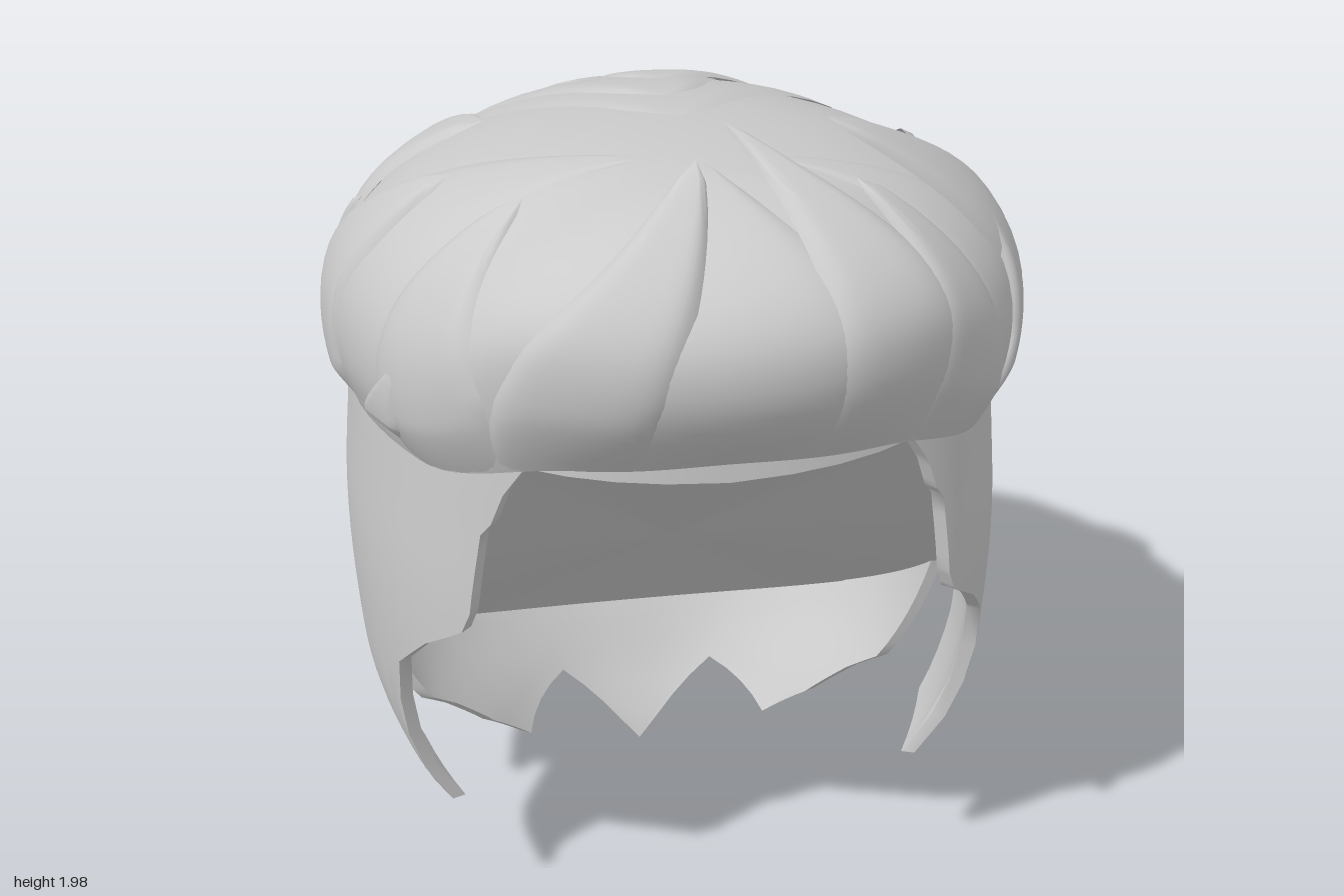
import * as THREE from 'three';
import { toCreasedNormals } from 'three/addons/utils/BufferGeometryUtils.js';
import { ParametricGeometry } from 'three/addons/geometries/ParametricGeometry.js';

const material = new THREE.MeshStandardMaterial({ color: 0xcccccc, side: THREE.DoubleSide });
const { lerp, clamp, degToRad, smoothstep } = THREE.MathUtils;

function surface(name, fn, slices, stacks, crease = 0.8) {
  const geo = new ParametricGeometry(fn, slices, stacks);
  geo.deleteAttribute('normal');
  geo.deleteAttribute('uv');
  const mesh = new THREE.Mesh(toCreasedNormals(geo, crease), material);
  mesh.name = name;
  return mesh;
}

// ---- Lower shell: half width and back depth at every 0.2 of height ----
const sections = new THREE.SplineCurve([
  [0.3, 0.43], [0.43, 0.51], [0.6, 0.59], [0.685, 0.69], [0.71, 0.745],
  [0.715, 0.77], [0.7, 0.77], [0.68, 0.75], [0.64, 0.7],
].map(([w, d]) => new THREE.Vector2(w, d)));
const SHELL_Z = -0.05, SHELL_FRONT = 0.74, SHELL_TOP = 1.45, ROUND = 0.85;

function shellPoint(phi, y, inset, target) {
  const size = sections.getPoint(y / 1.6);
  const c = Math.cos(phi), s = Math.sin(phi);
  const reach = (c > 0 ? SHELL_FRONT : size.y) - inset;
  return target.set(
    Math.sign(s) * (size.x - inset) * Math.pow(Math.abs(s), ROUND), y,
    SHELL_Z + Math.sign(c) * reach * Math.pow(Math.abs(c), ROUND));
}

// Hairline from forehead, past sideburn and ear, to the nape: [z, y]
const hairline = [
  [0.69, 1.34], [0.6, 1.36], [0.575, 1.29], [0.56, 1.22], [0.545, 1.19], [0.53, 1.0],
  [0.515, 0.95], [0.43, 0.88], [0.33, 0.78], [0.24, 0.35], [0.1, 0.43], [0.07, 0.62],
  [0.03, 0.73], [-0.02, 0.77], [-0.09, 0.75], [-0.13, 0.68], [-0.15, 0.5], [-0.16, 0.37],
  [-0.22, 0.31], [-0.27, 0.22], [-0.34, 0.13], [-0.52, 0.2], [-0.6, 0],
].map(([z, y]) => {
  const d = z - SHELL_Z;
  const reach = d > 0 ? SHELL_FRONT : sections.getPoint(y / 1.6).y;
  const c = Math.pow(clamp(Math.abs(d) / reach, 0, 1), 1 / ROUND);
  return [Math.acos(Math.sign(d) * c), y];
});

// Height of the slanting scalp where it meets the shell
const scalpY = (z) => Math.min(0.75 + 0.87 * z + 0.28 * z * z, 1.37);

function makeShell() {
  const perSegment = 4, half = (hairline.length - 1) * perSegment, rows = 20;
  return surface('lowerHair', (u, v, target) => {
    // columns run round both mirrored halves, rows go down outside and up inside
    const col = Math.round(u * 2 * half) - half;
    const f = Math.abs(col) / perSegment;
    const i = Math.min(Math.floor(f), hairline.length - 2);
    const phi = Math.sign(col) * lerp(hairline[i][0], hairline[i + 1][0], f - i);
    const edge = lerp(hairline[i][1], hairline[i + 1][1], f - i);
    const row = Math.round(v * (2 * rows + 1));
    if (row <= rows) return shellPoint(phi, lerp(SHELL_TOP, edge, row / rows), 0, target);
    shellPoint(phi, 0.6, 0, target);
    const top = Math.max(edge, scalpY(target.z) + 0.04);
    return shellPoint(phi, lerp(edge, top, (row - rows - 1) / rows), 0.03, target);
  }, 2 * half, 2 * rows + 1);
}

// Scalp closing the inside, slanting from the forehead down to the nape
function makeScalp() {
  return surface('scalp', (u, v, target) => {
    const phi = u * 2 * Math.PI;
    let y = 0.8;
    for (let n = 0; n < 6; n++) y = scalpY(shellPoint(phi, y, 0.02, target).z);
    shellPoint(phi, y, 0.02, target);
    target.set(target.x * v, lerp(0.85, target.y, v), target.z * v);
  }, 64, 8);
}

// ---- Crown: dome spreading from a whorl; t = 0 whorl, 1 widest, 1.5 tucked rim ----
const WHORL_Z = 0.38, WHORL_Y = 1.88, CROWN_A = 0.725, CROWN_B = 0.835;

function rimRadius(phi) {
  const dx = Math.sin(phi) / CROWN_A, dz = Math.cos(phi) / CROWN_B, oz = WHORL_Z / CROWN_B;
  const a = dx * dx + dz * dz, b = oz * dz;
  return (-b + Math.sqrt(b * b - a * (oz * oz - 1))) / a;
}

function crown(phi, t, target) {
  const c = Math.cos(phi);
  const front = smoothstep(c, 0.1, 0.7), back = smoothstep(-c, 0, 1);
  const mix = (f, side, b) => side + (f - side) * front + (b - side) * back;
  const yWide = mix(1.63, 1.48, 1.42);
  let s, y;
  if (t <= 1) {
    s = Math.sin(t * Math.PI / 2);
    y = yWide + (WHORL_Y - yWide) * Math.pow(Math.max(0, 1 - Math.pow(s, 2.1)), 1 / 2.1);
  } else {
    const k = (t - 1) * 2;
    s = 1 - (0.06 + 0.26 * Math.max(0, c) ** 2.3) * k * k;
    y = lerp(yWide, mix(1.38, 1.31, 1.21), k);
  }
  const r = rimRadius(phi) * s;
  return target.set(r * Math.sin(phi), y, WHORL_Z + r * c);
}

// One leaf-shaped lock: broad at the rim, sweeping up to a lifted point
const CENTRE = new THREE.Vector3(0, 1.2, 0);
function makeLock([baseDeg, halfDeg, tipX, tipZ, lift, ridge = 0.03, startT = 1.5]) {
  const base = degToRad(baseDeg), half = degToRad(halfDeg);
  let tip = Math.atan2(tipX, tipZ - WHORL_Z);
  while (tip - base > Math.PI) tip -= 2 * Math.PI;
  while (tip - base < -Math.PI) tip += 2 * Math.PI;
  const tipS = Math.hypot(tipX, tipZ - WHORL_Z) / rimRadius(tip);
  const tipT = Math.asin(Math.min(tipS, 0.999)) * 2 / Math.PI;
  const out = new THREE.Vector3();
  return surface('hairLock', (a, u, target) => {
    const w = a * 2 - 1;
    const width = half * Math.pow(1 - u, 0.3 + 0.45 * tipT) * (0.75 + 0.25 * Math.min(1, u * 3));
    crown(lerp(base, tip, u ** 1.3) + w * width, lerp(startT, tipT, u), target);
    // arched back with steep sides that sink just under the crown
    const arch = ridge * (1 - w ** 6) * Math.min(1, 0.3 + u * 3) * Math.pow(1 - u, 0.3);
    out.copy(target).sub(CENTRE).normalize();
    target.addScaledVector(out, arch - 0.01 * (1 - u));
    target.y += lift * u ** 4;
  }, 16, 24, 0.7);
}

// [base angle, half width, tip x, tip z, tip lift, ridge, start]
const locks = [
  // front sweep
  [0, 40, 0, 0.4, 0.01, 0.02],
  [-46, 26, -0.06, 0.63, 0.14, 0.035],
  [44, 24, 0.03, 0.42, 0.1, 0.03],
  [68, 20, 0.27, 0.53, 0.06, 0.035],
  // right side
  [-76, 20, -0.36, 0.44, 0.05, 0.03],
  [-92, 9, -0.62, 0.44, 0.03, 0.04, 1.4],
  [-108, 26, -0.1, 0.35, 0.01, 0.015],
  [-128, 20, -0.48, 0.2, 0.04, 0.035],
  [-116, 8, -0.68, 0.14, 0.02, 0.035, 1.4],
  [-152, 22, -0.38, -0.09, 0.03, 0.035],
  [-140, 8, -0.64, -0.2, 0.02, 0.035, 1.45],
  // left side
  [88, 18, 0.1, 0.38, 0.01, 0.015],
  [92, 11, 0.54, 0.28, 0.04, 0.035, 1.45],
  [122, 24, 0.25, 0.36, 0.1, 0.035],
  [104, 9, 0.66, 0.2, 0.03, 0.035, 1.4],
  [122, 9, 0.67, -0.04, 0.02, 0.035, 1.4],
  [148, 14, 0.57, -0.25, 0.03, 0.035],
  // layered back
  [178, 48, 0, 0.13, 0.02, 0.015],
  [-166, 34, 0, -0.03, 0.025, 0.025],
  [164, 28, 0.02, -0.22, 0.03, 0.03],
  [-168, 18, -0.1, -0.38, 0.02, 0.03],
  [178, 10, 0.03, -0.63, 0.05, 0.035],
  [171, 6, 0.2, -0.72, 0.04, 0.035],
];

export function createModel() {
  const model = new THREE.Group();
  model.name = 'hair';
  model.add(makeShell(), makeScalp());
  model.add(surface('crown', (u, v, p) => crown(u * 2 * Math.PI, v * 1.5, p), 72, 30));

  const lockGroup = new THREE.Group();
  lockGroup.name = 'hairLocks';
  locks.forEach((lock) => lockGroup.add(makeLock(lock)));
  model.add(lockGroup);
  return model;
}
